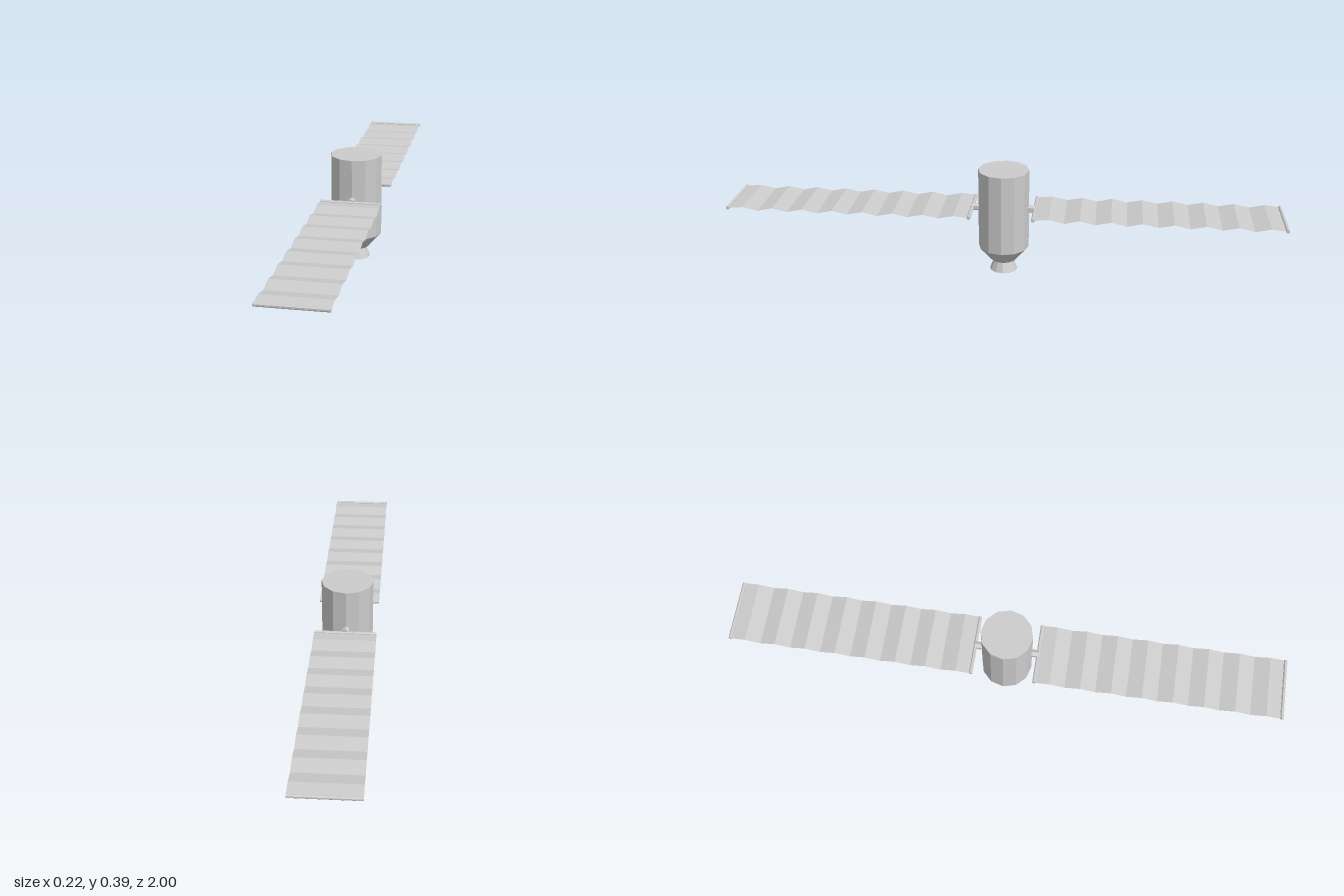
import * as THREE from 'three';

const material = new THREE.MeshStandardMaterial({ color: 0xcccccc, flatShading: true });
const thinMaterial = new THREE.MeshStandardMaterial({ color: 0xcccccc, flatShading: true, side: THREE.DoubleSide });

const AXIS_Y = 0.2405;   // height of the panel axis
const HALF_WIDTH = 0.11; // half width of a panel
const INNER = 0.108, OUTER = 1;

function addMesh(parent, name, geometry, mat = material) {
  const mesh = new THREE.Mesh(geometry, mat);
  mesh.name = name;
  parent.add(mesh);
  return mesh;
}

// Twelve-sided turned part from [radius, height] pairs
function turned(points) {
  return new THREE.LatheGeometry(points.map(([r, y]) => new THREE.Vector2(r, y)), 12);
}

// Pleated sheet: half pleats at the ends, full pleats between
function pleatedSheet() {
  const pleats = 14, ends = 0.061, amplitude = 0.006;
  const start = INNER + 0.005, end = OUTER - 0.005;
  const geometry = new THREE.PlaneGeometry(2 * HALF_WIDTH, 1, 1, pleats + 2);
  geometry.rotateX(-Math.PI / 2);
  const pos = geometry.attributes.position;
  const step = (OUTER - INNER - 2 * ends) / pleats;
  for (let i = 0; i < pos.count; i++) {
    const row = Math.floor(i / 2);
    const first = row === 0, last = row === pleats + 2;
    const z = first ? start : last ? end : INNER + ends + (row - 1) * step;
    const y = first || last ? 0 : row % 2 ? amplitude : -amplitude;
    pos.setY(i, AXIS_Y + y);
    pos.setZ(i, z);
  }
  geometry.computeVertexNormals();
  return geometry;
}

function solarWing(name) {
  const wing = new THREE.Group();
  wing.name = name;
  addMesh(wing, 'solarPanel', pleatedSheet(), thinMaterial);

  // Bars holding both ends of the sheet
  const barRadius = 0.0065;
  for (const [barName, z] of [['innerBar', INNER + 0.006], ['outerBar', OUTER - 0.006]]) {
    const bar = new THREE.CylinderGeometry(barRadius, barRadius, 2 * HALF_WIDTH, 8);
    bar.rotateY(Math.PI / 8).rotateZ(Math.PI / 2).translate(0, AXIS_Y, z);
    addMesh(wing, barName, bar);
  }

  // Six-sided stub joining the wing to the body
  const stub = new THREE.CylinderGeometry(0.014, 0.014, 0.035, 6);
  stub.rotateX(Math.PI / 2).translate(0, AXIS_Y, 0.0985);
  addMesh(wing, 'wingMount', stub);
  return wing;
}

export function createModel() {
  const model = new THREE.Group();
  model.name = 'satellite';

  // Body with tapered lower end
  addMesh(model, 'body', turned([[0, 0.04], [0.046, 0.04], [0.092, 0.093], [0.092, 0.388], [0, 0.388]]));

  // Hollow engine bell
  addMesh(model, 'nozzle', turned([[0, 0.032], [0.029, 0.032], [0.042, 0], [0.051, 0], [0.034, 0.04]]));

  // Front and back wings
  const back = solarWing('backWing');
  back.rotation.y = Math.PI;
  model.add(solarWing('frontWing'), back);
  return model;
}
